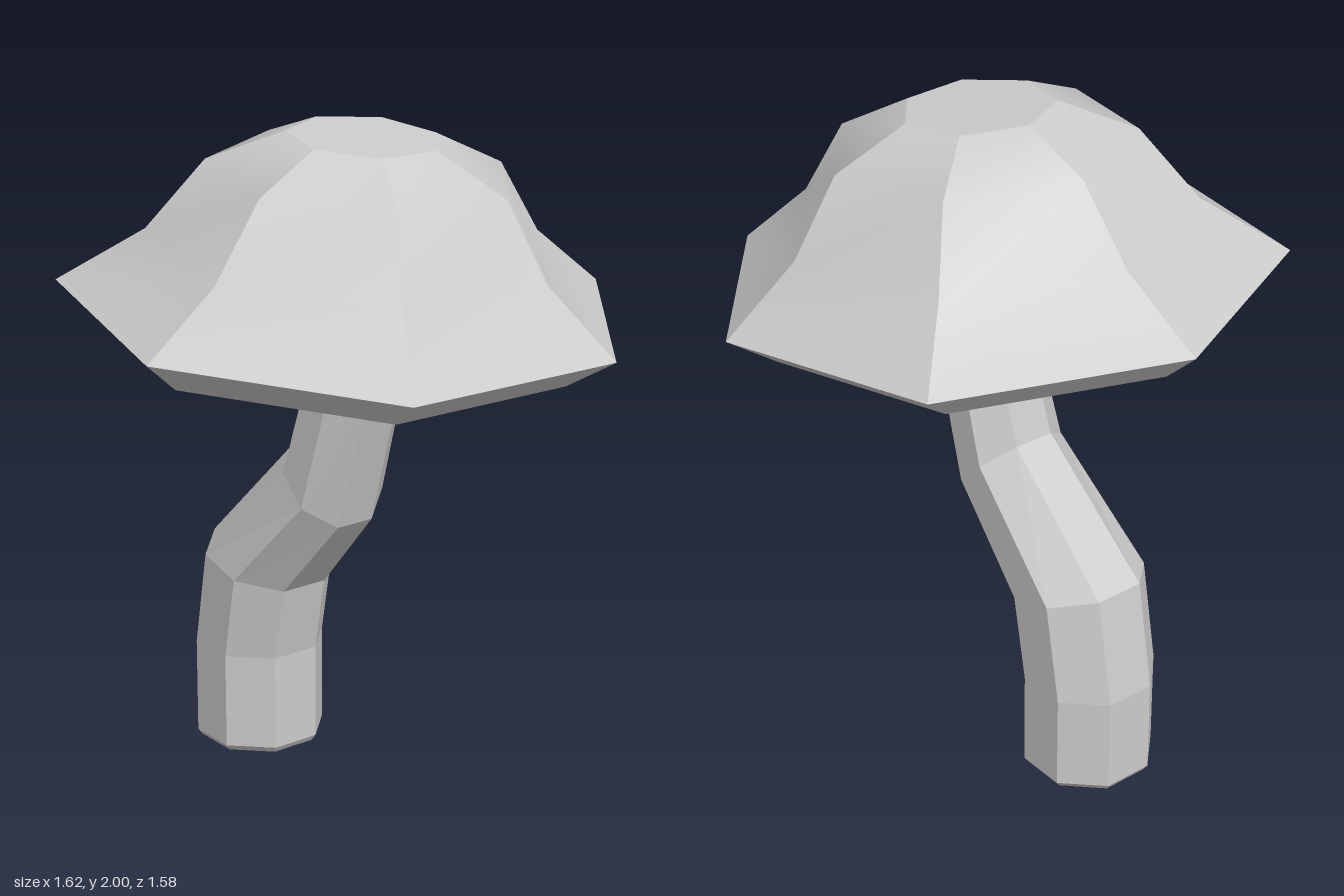
import * as THREE from 'three';

const grey = new THREE.MeshStandardMaterial({ color: 0xcccccc });
const facetedGrey = new THREE.MeshStandardMaterial({ color: 0xcccccc, flatShading: true });

// Corner points of one tilted ring, clockwise from the back as seen from above.
// rx, rz: radii; tiltZ, tiltX: height gained per unit of z and x
function ring({ x, y, z, rx, rz = rx, tiltZ = 0, tiltX = 0 }, sides, phase = 0) {
  return Array.from({ length: sides }, (_, i) => {
    const a = ((i + phase) / sides) * Math.PI * 2;
    const dx = rx * Math.sin(a), dz = -rz * Math.cos(a);
    return new THREE.Vector3(x + dx, y + dz * tiltZ + dx * tiltX, z + dz);
  });
}

function meshOf(name, points, index, material) {
  const geometry = new THREE.BufferGeometry().setFromPoints(points);
  geometry.setIndex(index);
  geometry.computeVertexNormals();
  const mesh = new THREE.Mesh(geometry, material);
  mesh.name = name;
  return mesh;
}

// One upright strip per side: smooth along its height, sharp at the corners
function sidePanels(name, rings, material) {
  const group = new THREE.Group();
  group.name = name;
  const sides = rings[0].length;
  for (let i = 0; i < sides; i++) {
    const points = rings.flatMap((r) => [r[i], r[(i + 1) % sides]]);
    const index = [];
    for (let k = 0; k < rings.length - 1; k++) {
      const b = k * 2;
      index.push(b + 1, b, b + 2, b + 1, b + 2, b + 3);
    }
    group.add(meshOf(`${name}Panel`, points, index, material));
  }
  return group;
}

// Flat polygon closing a ring
function lid(name, points, facesUp) {
  const index = [];
  for (let i = 1; i < points.length - 1; i++) {
    index.push(0, ...(facesUp ? [i + 1, i] : [i, i + 1]));
  }
  return meshOf(name, points, index, facetedGrey);
}

export function createModel() {
  const model = new THREE.Group();
  model.name = 'mushroom';

  // Seven-sided cap, leaning forward
  const capRings = [
    { x: -0.01, y: 1.394, z: 0.03, rx: 0.70 },
    { x: 0, y: 1.493, z: 0.041, rx: 0.831 },
    { x: 0.007, y: 1.667, z: 0.074, rx: 0.594 },
    { x: 0.013, y: 1.883, z: 0.102, rx: 0.442 },
    { x: 0.013, y: 1.981, z: 0.112, rx: 0.222 },
  ].map((r) => ring({ ...r, tiltZ: -0.092, tiltX: -0.018 }, 7));

  const cap = new THREE.Group();
  cap.name = 'cap';
  cap.add(
    lid('capUnderside', capRings[0], false),
    sidePanels('capRim', capRings.slice(0, 2), facetedGrey),
    sidePanels('capDome', capRings.slice(1), grey),
    lid('capTop', capRings[4], true),
  );

  // Eight-sided crooked stem, bevelled at the foot
  const toCorner = 1 / Math.cos(Math.PI / 8);
  const stemRings = [
    [-0.013, 0, -0.375, 0.172, 0.172, 0],
    [-0.013, 0.02, -0.375, 0.187, 0.185, 0],
    [-0.013, 0.32, -0.375, 0.187, 0.185, 0],
    [-0.013, 0.605, -0.322, 0.187, 0.178, -0.28],
    [0.022, 0.915, -0.045, 0.153, 0.105, -1],
    [0.032, 1.24, 0.045, 0.142, 0.135, 0.04],
    [0.03, 1.45, -0.02, 0.128, 0.125, 0],
  ].map(([x, y, z, rx, rz, tiltZ]) =>
    ring({ x, y, z, rx: rx * toCorner, rz: rz * toCorner, tiltZ }, 8, 0.5));

  const stem = new THREE.Group();
  stem.name = 'stem';
  stem.add(
    lid('stemFoot', stemRings[0], false),
    sidePanels('stemBody', stemRings, facetedGrey),
  );

  model.add(cap, stem);
  return model;
}
